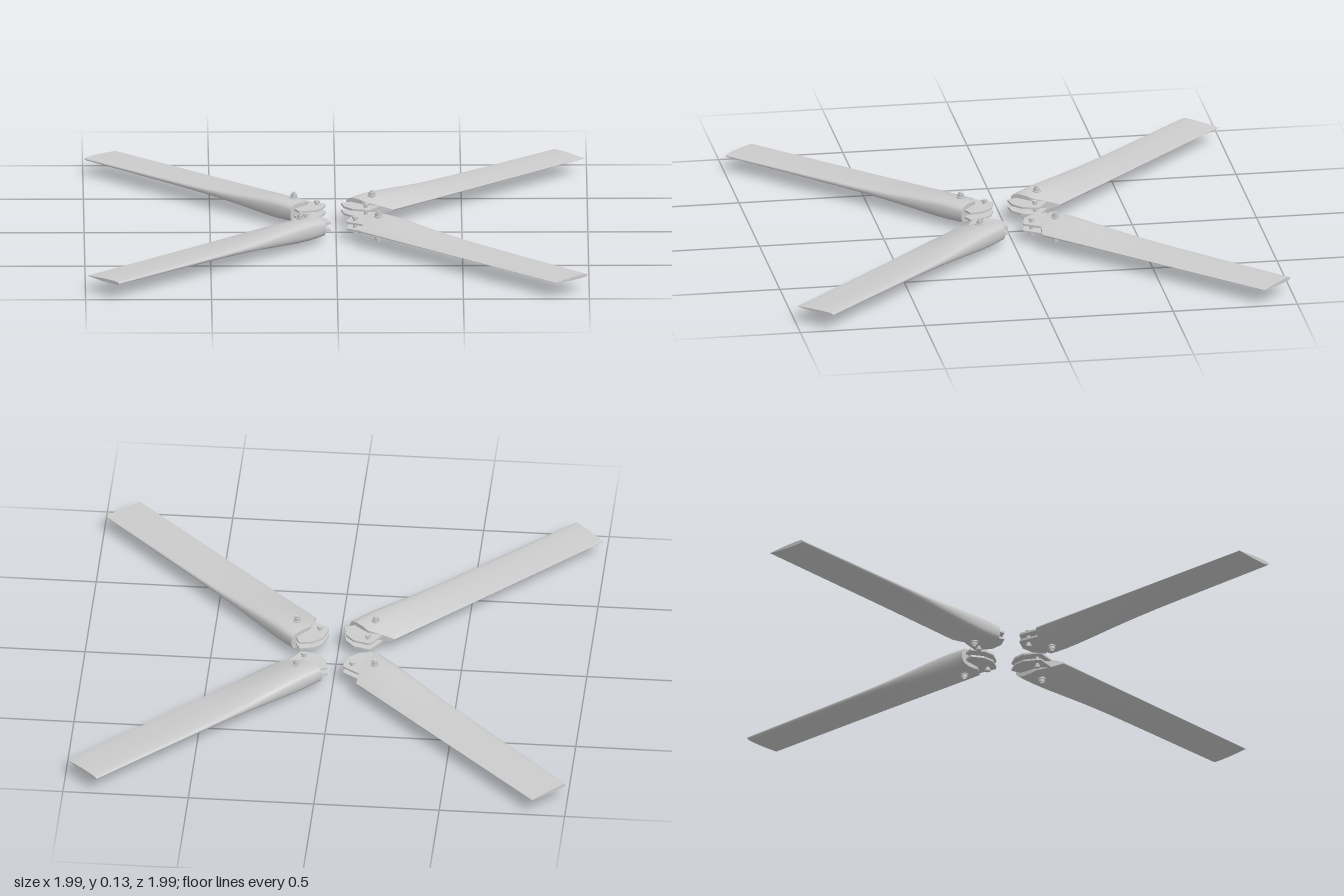
import * as THREE from 'three';

const MID = 0.063; // height of the rotor plane
const TIP = 1.315; // radius of the blade tip
const mat = new THREE.MeshStandardMaterial({ color: 0xcccccc, side: THREE.DoubleSide });
const lerp = THREE.MathUtils.lerp;

// Linear interpolation in a short list of [position, value] pairs
function table(points, p) {
  for (let i = 1; i < points.length; i++) {
    const [a, va] = points[i - 1], [b, vb] = points[i];
    if (p <= b) return lerp(va, vb, Math.max(0, (p - a) / (b - a)));
  }
  return points[points.length - 1][1];
}

const thickness = [[0.15, 0.07], [0.22, 0.08], [0.3, 0.076], [0.4, 0.062], [0.5, 0.046],
  [0.6, 0.034], [0.75, 0.025], [1, 0.02], [TIP, 0.015]];
const profile = [[0, 0], [0.012, 0.45], [0.04, 0.72], [0.1, 0.9], [0.22, 1], [0.4, 0.95],
  [0.55, 0.8], [0.7, 0.58], [0.85, 0.33], [1, 0.08]];
const rootLine = [[-0.1, 0.156], [0.006, 0.164], [0.088, 0.23]];

// Blade: airfoil sections lofted from a slanted, thick root to a thin square tip
function bladeGeometry() {
  const chord = profile.map(p => p[0]);
  const n = chord.length;
  const loop = [...chord.map(c => [c, 1]), ...chord.slice(1).reverse().map(c => [c, -1])];
  const stations = [0, 0.03, 0.07, 0.12, 0.17, 0.22, 0.28, 0.34, 0.4, 0.5, 0.65, 0.82, 1];
  const pos = [], index = [];
  const section = s => loop.forEach(([c, side]) => {
    const v = lerp(lerp(-0.1, -0.089, s), lerp(0.088, 0.085, s), c);
    const u = lerp(table(rootLine, v), TIP, s);
    pos.push(u, MID + side * table(thickness, u) * table(profile, c) / 2, v);
  });
  stations.forEach(section);
  const m = loop.length;
  for (let i = 0; i < stations.length - 1; i++) {
    for (let j = 0; j < m; j++) {
      const a = i * m + j, b = i * m + (j + 1) % m;
      index.push(a, b, a + m, b, b + m, a + m);
    }
  }
  // End caps with their own vertices, so that their edges stay sharp
  for (const s of [0, 1]) {
    const base = pos.length / 3;
    section(s);
    const cap = (a, b, c) => s ? index.push(base + a, base + b, base + c) : index.push(base + a, base + c, base + b);
    for (let j = 0; j < n - 1; j++) {
      const low = k => (m - k) % m;
      cap(j, j + 1, low(j + 1));
      if (j > 0) cap(j, low(j + 1), low(j));
    }
  }
  const g = new THREE.BufferGeometry();
  g.setAttribute('position', new THREE.Float32BufferAttribute(pos, 3));
  g.setIndex(index);
  g.computeVertexNormals();
  return g;
}

// Flat root plate with a hole for the lock pin
function plateGeometry() {
  const outline = [[0.112, 0.055], [0.085, 0.006], [0.089, -0.044], [0.119, -0.089],
    [0.168, -0.07], [0.24, -0.045], [0.25, 0.0], [0.198, 0.051], [0.123, 0.066]];
  const shape = new THREE.Shape(outline.map(([u, v]) => new THREE.Vector2(u, v)));
  shape.holes.push(new THREE.Path().absarc(0.138, 0.032, 0.008, 0, Math.PI * 2, true));
  const g = new THREE.ExtrudeGeometry(shape, { depth: 0.008, bevelEnabled: false, curveSegments: 6 });
  return g.rotateX(Math.PI / 2);
}

export function createModel() {
  const model = new THREE.Group();
  model.name = 'rotorBlades';
  const bladeGeo = bladeGeometry(), plateGeo = plateGeometry();

  for (let k = 0; k < 4; k++) {
    const arm = new THREE.Group();
    arm.name = 'bladeAssembly' + (k + 1);
    const add = (name, geo, x = 0, y = 0, z = 0) => {
      const mesh = new THREE.Mesh(geo, mat);
      mesh.name = name;
      mesh.position.set(x, y, z);
      arm.add(mesh);
    };
    const cyl = (r, h, sides = 12) => new THREE.CylinderGeometry(r, r, h, sides);

    add('blade', bladeGeo);
    // Fork plates and the lock pin between them
    add('upperRootPlate', plateGeo, 0, MID + 0.018);
    add('lowerRootPlate', plateGeo, 0, MID - 0.01);
    add('lockPin', cyl(0.008, 0.07), 0.138, MID, 0.032);
    // Main bolt through the blade root, with a nut and washer on both sides
    add('mainBolt', cyl(0.008, 0.126), 0.219, MID, -0.017);
    for (const s of [-1, 1]) {
      add('washer', cyl(0.017, 0.004), 0.219, MID + s * 0.042, -0.017);
      add('nut', cyl(0.013, 0.012, 6), 0.219, MID + s * 0.05, -0.017);
      add('pinHead', cyl(0.012, 0.008, 6), 0.138, MID + s * 0.03, 0.032);
    }
    arm.rotation.y = -Math.PI / 4 + k * Math.PI / 2;
    model.add(arm);
  }
  return model;
}
